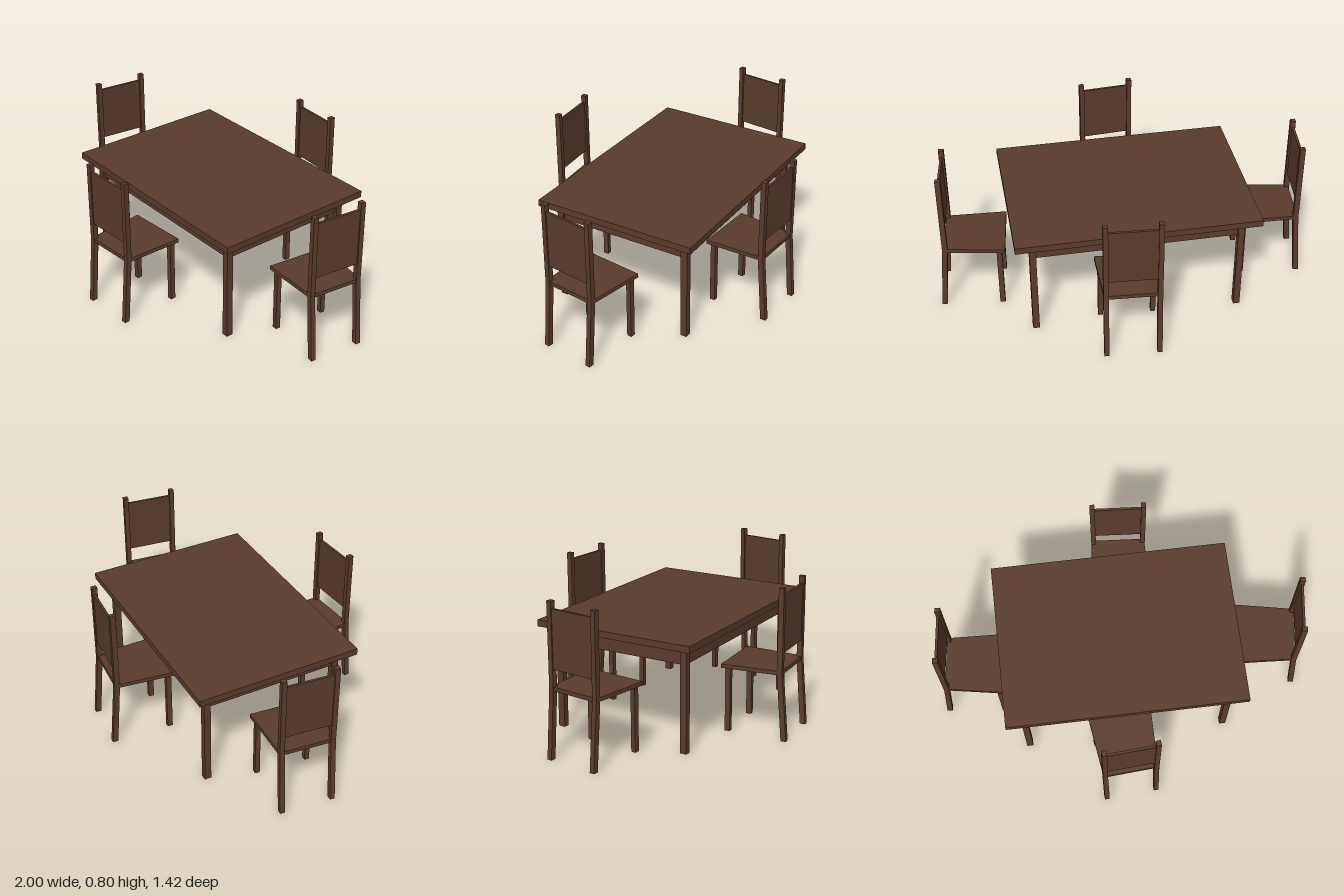
import * as THREE from 'three';

const wood = new THREE.MeshStandardMaterial({ color: 0x5a3b2e });
wood.name = 'dark wood';

function add(parent, name, geometry, x = 0, y = 0, z = 0) {
  const mesh = new THREE.Mesh(geometry, wood);
  mesh.name = name;
  mesh.position.set(x, y, z);
  parent.add(mesh);
  return mesh;
}

// Box spanning y0..y1, centred on x and z
function block(parent, name, w, d, y0, y1, x = 0, z = 0) {
  return add(parent, name, new THREE.BoxGeometry(w, y1 - y0, d), x, (y0 + y1) / 2, z);
}

function polygon(points, depth) {
  const shape = new THREE.Shape(points.map(([a, b]) => new THREE.Vector2(a, b)));
  return new THREE.ExtrudeGeometry(shape, { depth, bevelEnabled: false });
}

function createTable() {
  const table = new THREE.Group();
  table.name = 'table';
  block(table, 'tableTop', 1.262, 0.891, 0.555, 0.59);
  block(table, 'apron', 1.09, 0.745, 0.46, 0.555);
  for (const sx of [-1, 1]) {
    for (const sz of [-1, 1]) {
      block(table, 'tableLeg', 0.034, 0.036, 0, 0.555, sx * 0.539, sz * 0.367);
    }
  }
  table.position.set(-0.018, 0, -0.028);
  return table;
}

// Chair faces +z; its origin lies midway between the rear posts
function createChair() {
  const chair = new THREE.Group();
  chair.name = 'chair';

  // Seat, wider towards the front
  const seat = polygon([[-0.167, -0.312], [0.167, -0.312], [0.145, 0.008], [-0.145, 0.008]], 0.021);
  seat.rotateX(-Math.PI / 2);
  add(chair, 'seat', seat, 0, 0.349, 0);

  // Rear posts: upright above the seat, splayed backwards below it
  const post = polygon([
    [-0.044, 0], [-0.015, 0], [0.014, 0.36], [0.014, 0.8], [-0.014, 0.8], [-0.014, 0.36],
  ], 0.026);
  post.translate(0, 0, -0.013);
  post.rotateY(-Math.PI / 2);

  for (const s of [-1, 1]) {
    add(chair, 'rearPost', post, s * 0.136, 0, 0);
    block(chair, 'frontLeg', 0.026, 0.028, 0.005, 0.349, s * 0.139, 0.281);
  }
  block(chair, 'backPanel', 0.26, 0.013, 0.46, 0.763, 0, -0.002);
  return chair;
}

export function createModel() {
  const model = new THREE.Group();
  model.name = 'diningSet';
  model.add(createTable());

  // Chair placements: name, x, z, turn about y
  const places = [
    ['frontChair', -0.034, 0.657, Math.PI + 0.068],
    ['backChair', 0.056, -0.655, -0.073],
    ['rightChair', -0.94, -0.046, Math.PI / 2 - 0.11],
    ['leftChair', 0.932, 0.008, -Math.PI / 2 - 0.13],
  ];
  for (const [name, x, z, turn] of places) {
    const chair = createChair();
    chair.name = name;
    chair.position.set(x, 0, z);
    chair.rotation.y = turn;
    model.add(chair);
  }
  return model;
}
